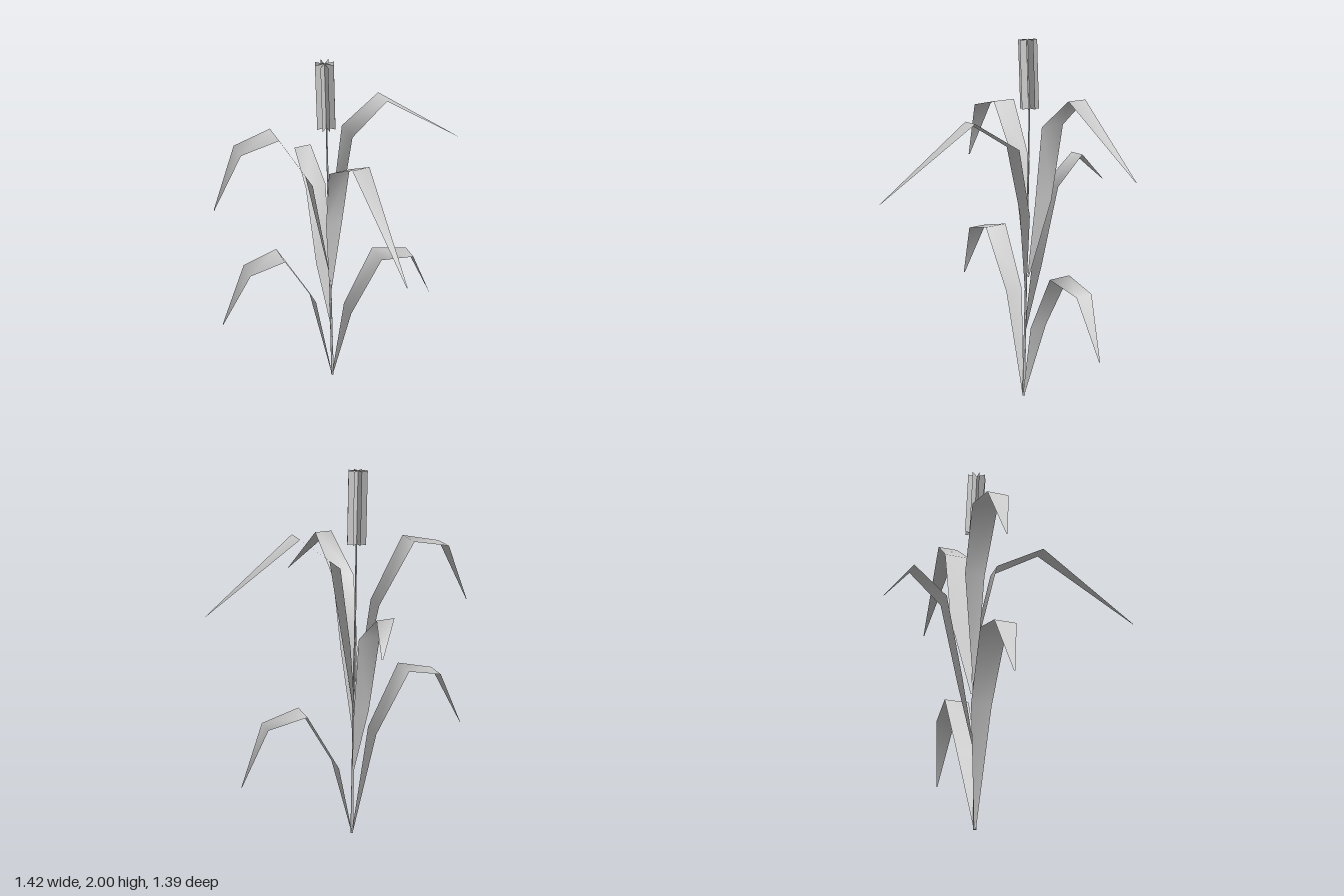
import * as THREE from 'three';

const material = new THREE.MeshStandardMaterial({ color: 0xcccccc, side: THREE.DoubleSide });

// Flat ribbon through stations [x, y, z, halfWidth], widened along one axis
function ribbon(name, axis, stations) {
  const positions = [], index = [];
  stations.forEach(([x, y, z, w], i) => {
    for (const s of [-1, 1]) {
      positions.push(x + (axis === 'x' ? s * w : 0), y, z + (axis === 'z' ? s * w : 0));
    }
    if (i > 0) {
      const a = 2 * i - 2;
      index.push(a, a + 1, a + 3, a, a + 3, a + 2);
    }
  });
  const geometry = new THREE.BufferGeometry();
  geometry.setAttribute('position', new THREE.Float32BufferAttribute(positions, 3));
  geometry.setIndex(index);
  geometry.computeVertexNormals();
  const mesh = new THREE.Mesh(geometry, material);
  mesh.name = name;
  return mesh;
}

// Places a y-aligned mesh between two points
function span(mesh, from, to) {
  mesh.position.copy(from).lerp(to, 0.5);
  mesh.quaternion.setFromUnitVectors(new THREE.Vector3(0, 1, 0), to.clone().sub(from).normalize());
  return mesh;
}

export function createModel() {
  const plant = new THREE.Group();
  plant.name = 'plant';

  const root = new THREE.Vector3(-0.088, 0, -0.214);
  const neck = new THREE.Vector3(-0.085, 1.66, -0.24);
  const crown = new THREE.Vector3(-0.093, 2, -0.231);

  // Thin tapering stalk
  const stalk = new THREE.Mesh(
    new THREE.CylinderGeometry(0.004, 0.008, root.distanceTo(neck), 5), material);
  stalk.name = 'stalk';
  plant.add(span(stalk, root, neck));

  // Tassel: crossed upright blades
  const tassel = new THREE.Group();
  tassel.name = 'tassel';
  const base = new THREE.Vector3(-0.085, 1.638, -0.241);
  for (let i = 0; i < 4; i++) {
    const blade = new THREE.Mesh(new THREE.PlaneGeometry(0.1, base.distanceTo(crown)), material);
    blade.name = 'tasselBlade';
    blade.rotation.y = (i * Math.PI) / 4;
    tassel.add(blade);
  }
  plant.add(span(tassel, base, crown));

  // Leaves, each rising from the stalk, arching over and drooping to a tip
  plant.add(
    ribbon('lowerRightLeaf', 'z', [
      [-0.09, 0, -0.214, 0.005], [-0.195, 0.6, -0.223, 0.053], [-0.37, 0.935, -0.222, 0.068],
      [-0.56, 0.888, -0.226, 0.056], [-0.715, 0.565, -0.235, 0.004]]),
    ribbon('upperRightLeaf', 'z', [
      [-0.088, 0.72, -0.226, 0.005], [-0.18, 1.33, -0.262, 0.053], [-0.355, 1.645, -0.267, 0.068],
      [-0.555, 1.6, -0.265, 0.056], [-0.7, 1.283, -0.267, 0.004]]),
    ribbon('lowerLeftLeaf', 'z', [
      [-0.088, 0, -0.214, 0.005], [0.02, 0.445, -0.232, 0.053], [0.2, 0.775, -0.232, 0.066],
      [0.405, 0.73, -0.232, 0.05], [0.54, 0.407, -0.232, 0.003]]),
    ribbon('upperLeftLeaf', 'z', [
      [-0.087, 0.7, -0.24, 0.005], [-0.015, 1.14, -0.285, 0.055], [0.05, 1.56, -0.29, 0.07],
      [0.25, 1.72, -0.288, 0.055], [0.71, 1.38, -0.29, 0.002]]),
    ribbon('frontLeaf', 'x', [
      [-0.087, 0.6, -0.224, 0.005], [-0.068, 1.07, -0.2, 0.046], [-0.067, 1.44, -0.12, 0.057],
      [-0.066, 1.605, 0.15, 0.045], [-0.068, 1.255, 0.69, 0.002]]),
    ribbon('backLeaf', 'x', [
      [-0.088, 0.38, -0.22, 0.005], [-0.094, 0.76, -0.305, 0.042], [-0.09, 1.2, -0.4, 0.057],
      [-0.092, 1.355, -0.577, 0.047], [-0.02, 1.207, -0.705, 0.004]]),
  );
  return plant;
}
